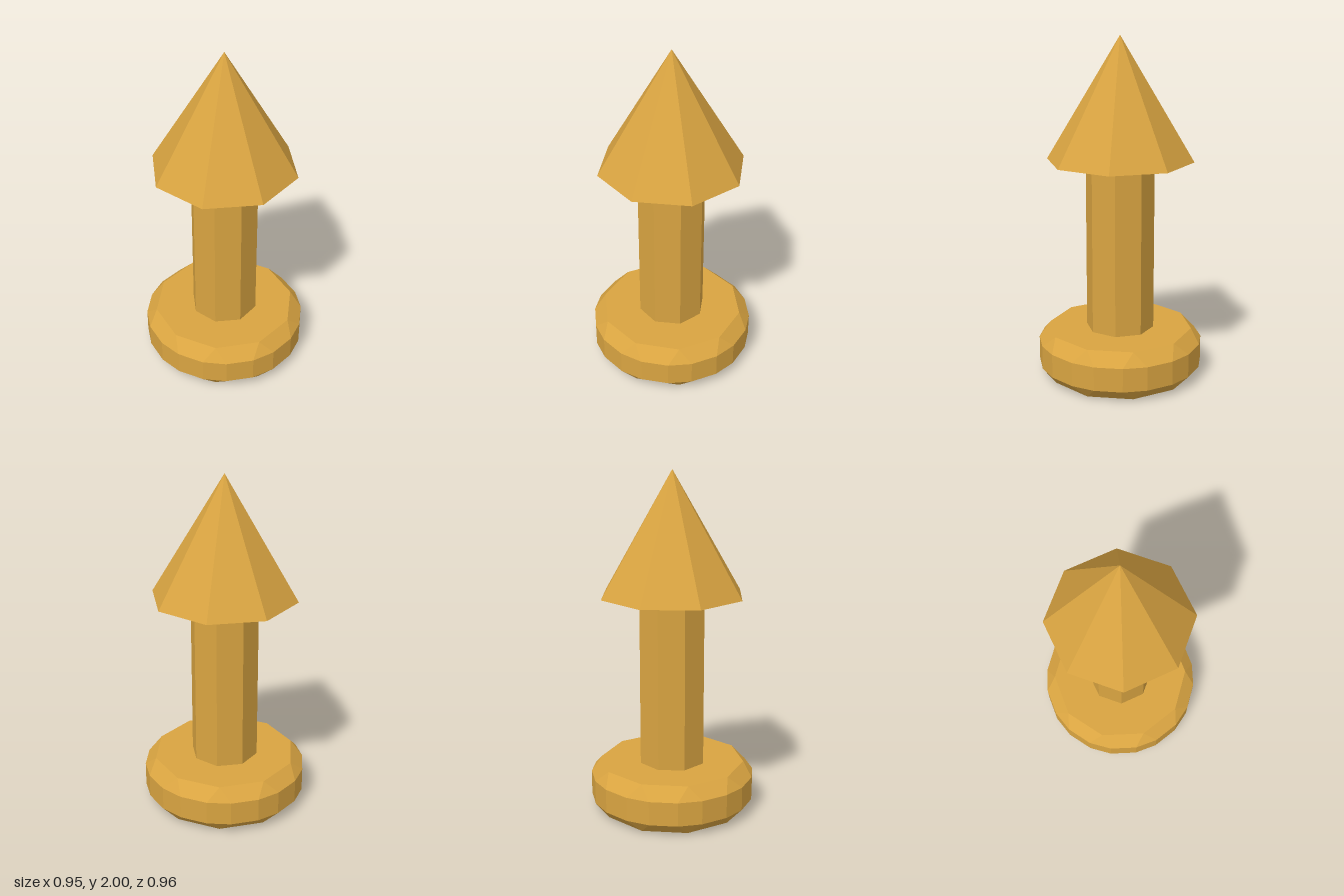
import * as THREE from 'three';
import { ConvexGeometry } from 'three/addons/geometries/ConvexGeometry.js';

export function createModel() {
  const group = new THREE.Group();
  const material = new THREE.MeshStandardMaterial({ color: 0xd9a441, flatShading: true });

  const add = (name, geometry, y = 0) => {
    const mesh = new THREE.Mesh(geometry, material);
    mesh.name = name;
    mesh.position.y = y;
    group.add(mesh);
  };

  // Ten-sided base with bevelled rims and chamfered corners
  const points = [];
  const addPoint = (radius, degrees, y) => {
    const a = THREE.MathUtils.degToRad(degrees);
    points.push(new THREE.Vector3(radius * Math.sin(a), y, radius * Math.cos(a)));
  };
  for (let i = 0; i < 10; i++) {
    const corner = i * 36;
    for (const y of [0, 0.285]) addPoint(0.425, corner, y);
    for (const y of [0.072, 0.213]) {
      addPoint(0.4835, corner - 8.3, y);
      addPoint(0.4835, corner + 8.3, y);
    }
  }
  add('base', new ConvexGeometry(points));

  // Octagonal shaft from the base up to the head
  add('shaft', new THREE.CylinderGeometry(0.2, 0.2, 1.005, 8), 0.7875);

  // Eight-sided pointed head
  add('head', new THREE.ConeGeometry(0.427, 0.71, 8), 1.645);

  return group;
}
